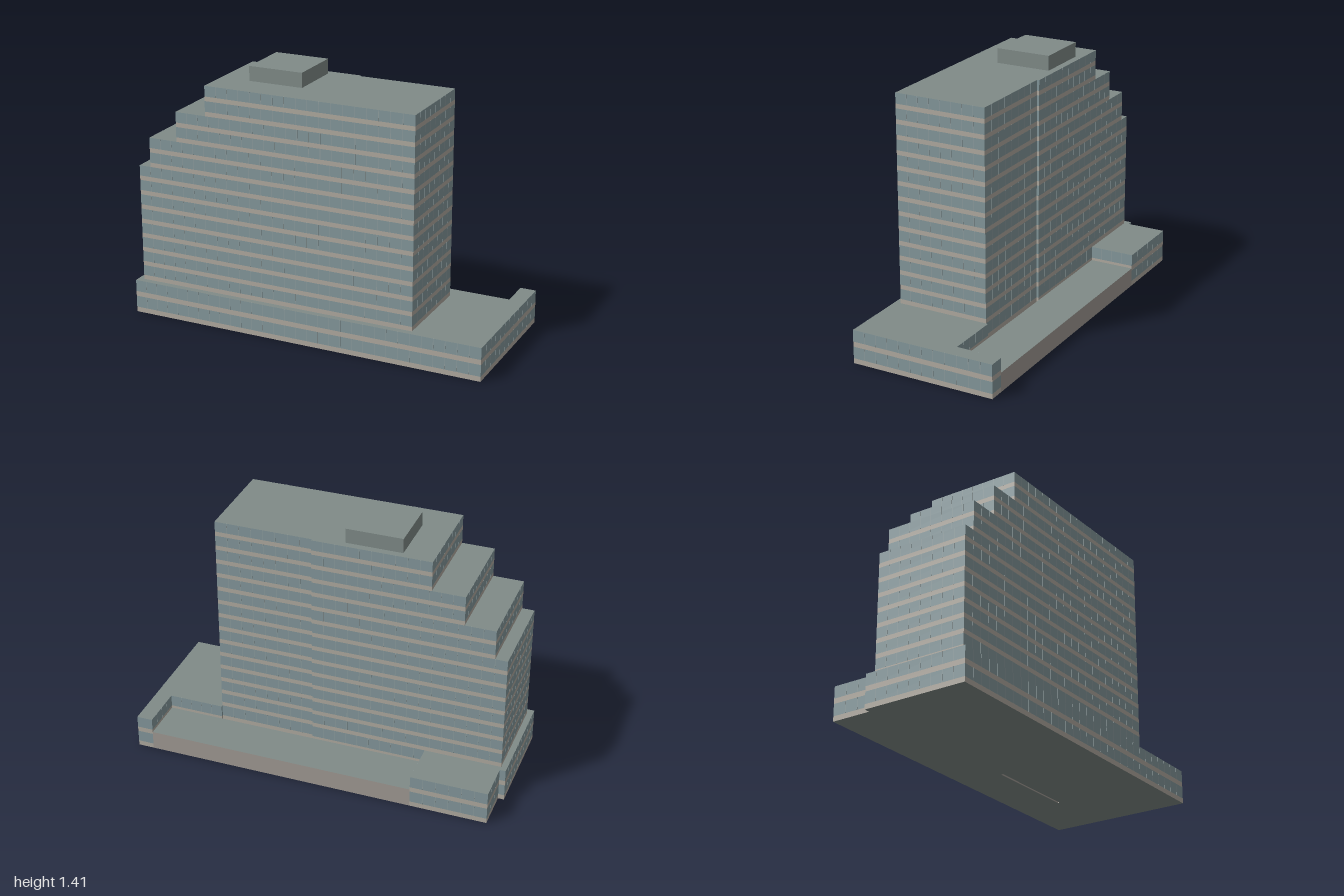
import * as THREE from 'three';
import { mergeGeometries } from 'three/addons/utils/BufferGeometryUtils.js';

const material = (color, side = THREE.FrontSide) => new THREE.MeshStandardMaterial({ color, side });
const glass = material(0x84989c);
const spandrel = material(0xb0aaa0);
const mullion = material(0x92a0a1);
const roof = material(0x808b88, THREE.DoubleSide);
const plainWall = material(0xa09a94);

function addMesh(parent, name, geometries, mat) {
  const mesh = new THREE.Mesh(mergeGeometries(geometries), mat);
  mesh.name = name;
  parent.add(mesh);
}

// Footprints are counter-clockwise [u, v] corners: u runs along the block, v across it (local z = -v)
const rectangle = (u0, u1, v0, v1) => [[u0, v0], [u1, v0], [u1, v1], [u0, v1]];

// Calls make(length) for each side of a footprint and stands the result on that side, facing out
function alongSides(footprint, y, make) {
  return footprint.flatMap(([u0, v0], i) => {
    const [u1, v1] = footprint[(i + 1) % footprint.length];
    const angle = Math.atan2(v1 - v0, u1 - u0);
    return make(Math.hypot(u1 - u0, v1 - v0)).map((geometry) =>
      geometry.rotateY(angle).translate((u0 + u1) / 2, y, -(v0 + v1) / 2));
  });
}

const walls = (footprint, y0, y1) =>
  alongSides(footprint, (y0 + y1) / 2, (length) => [new THREE.PlaneGeometry(length, y1 - y0)]);

const slab = (footprint, y) =>
  new THREE.ShapeGeometry(new THREE.Shape(footprint.map(([u, v]) => new THREE.Vector2(u, v))))
    .rotateX(-Math.PI / 2).translate(0, y, 0);

// Evenly spaced thin window posts for one storey
function posts(footprint, y0, y1) {
  return alongSides(footprint, (y0 + y1) / 2, (length) => {
    const count = Math.round(length / 0.065);
    return Array.from({ length: Math.max(0, count - 1) }, (_, i) =>
      new THREE.BoxGeometry(0.003, y1 - y0, 0.002).translate(length * ((i + 1) / count - 0.5), 0, 0));
  });
}

// Storeys of glass above a spandrel band; footprintAt(i) gives the outline of each storey
function facade(parent, name, footprintAt, y0, storeys, storeyHeight) {
  const panes = [], bands = [], bars = [];
  for (let i = 0; i < storeys; i++) {
    const bottom = y0 + i * storeyHeight;
    const sill = bottom + storeyHeight * 0.3;
    const top = bottom + storeyHeight;
    const footprint = footprintAt(i);
    bands.push(...walls(footprint, bottom, sill));
    panes.push(...walls(footprint, sill, top));
    bars.push(...posts(footprint, sill, top));
  }
  addMesh(parent, name + 'Glass', panes, glass);
  addMesh(parent, name + 'Spandrels', bands, spandrel);
  addMesh(parent, name + 'Mullions', bars, mullion);
}

// Tower outline, with a shallow step in its back wall
const towerFootprint = (end) => [
  [end, -0.361], [0.602, -0.361], [0.602, 0.151], [0.067, 0.151], [0.067, 0.163], [end, 0.163],
];

export function createModel() {
  const model = new THREE.Group();
  model.name = 'officeBuilding';
  model.rotation.y = -0.778;

  // Two-storey podium wrapping around the terrace
  const podiumTop = 0.185;
  const podium = new THREE.Group();
  podium.name = 'podium';
  model.add(podium);
  const podiumFootprint = [
    [-1.017, -0.395], [0.992, -0.395], [0.992, 0.412], [0.905, 0.412], [0.905, 0.163],
    [0.602, 0.163], [0.602, 0.151], [0.067, 0.151], [0.067, 0.163], [-0.567, 0.163],
    [-0.567, 0.412], [-0.985, 0.412], [-0.985, 0.191], [-1.017, 0.191],
  ];
  facade(podium, 'podium', () => podiumFootprint, 0, 2, podiumTop / 2);
  addMesh(podium, 'podiumRoof', [slab(podiumFootprint, podiumTop)], roof);

  // Low terrace behind the tower
  const terrace = rectangle(-0.567, 0.905, 0.163, 0.412);
  addMesh(podium, 'terraceWalls', walls(terrace, 0, 0.105), plainWall);
  addMesh(podium, 'terraceDeck', [slab(terrace, 0.105)], roof);
  addMesh(podium, 'underside', [slab(podiumFootprint, 0), slab(terrace, 0)], roof);

  // Tower of fourteen storeys, set back every two storeys near the top
  const tower = new THREE.Group();
  tower.name = 'tower';
  model.add(tower);
  const storey = (1.33 - podiumTop) / 14;
  const ends = [-0.985, -0.918, -0.752, -0.575];
  const tierOf = (i) => Math.max(0, Math.floor((i - 6) / 2));
  facade(tower, 'tower', (i) => towerFootprint(ends[tierOf(i)]), podiumTop, 14, storey);
  const setbacks = [0, 1, 2].map((t) =>
    slab(rectangle(ends[t], ends[t + 1], -0.361, 0.163), podiumTop + storey * (8 + 2 * t)));
  addMesh(tower, 'setbackRoofs', setbacks, roof);
  addMesh(tower, 'mainRoof', [slab(towerFootprint(ends[3]), 1.33)], roof);

  // Rooftop plant room
  const plant = rectangle(-0.41, -0.105, -0.18, 0.125);
  addMesh(tower, 'plantRoom', [...walls(plant, 1.33, 1.41), slab(plant, 1.41)], roof);

  const group = new THREE.Group();
  group.add(model);
  return group;
}
